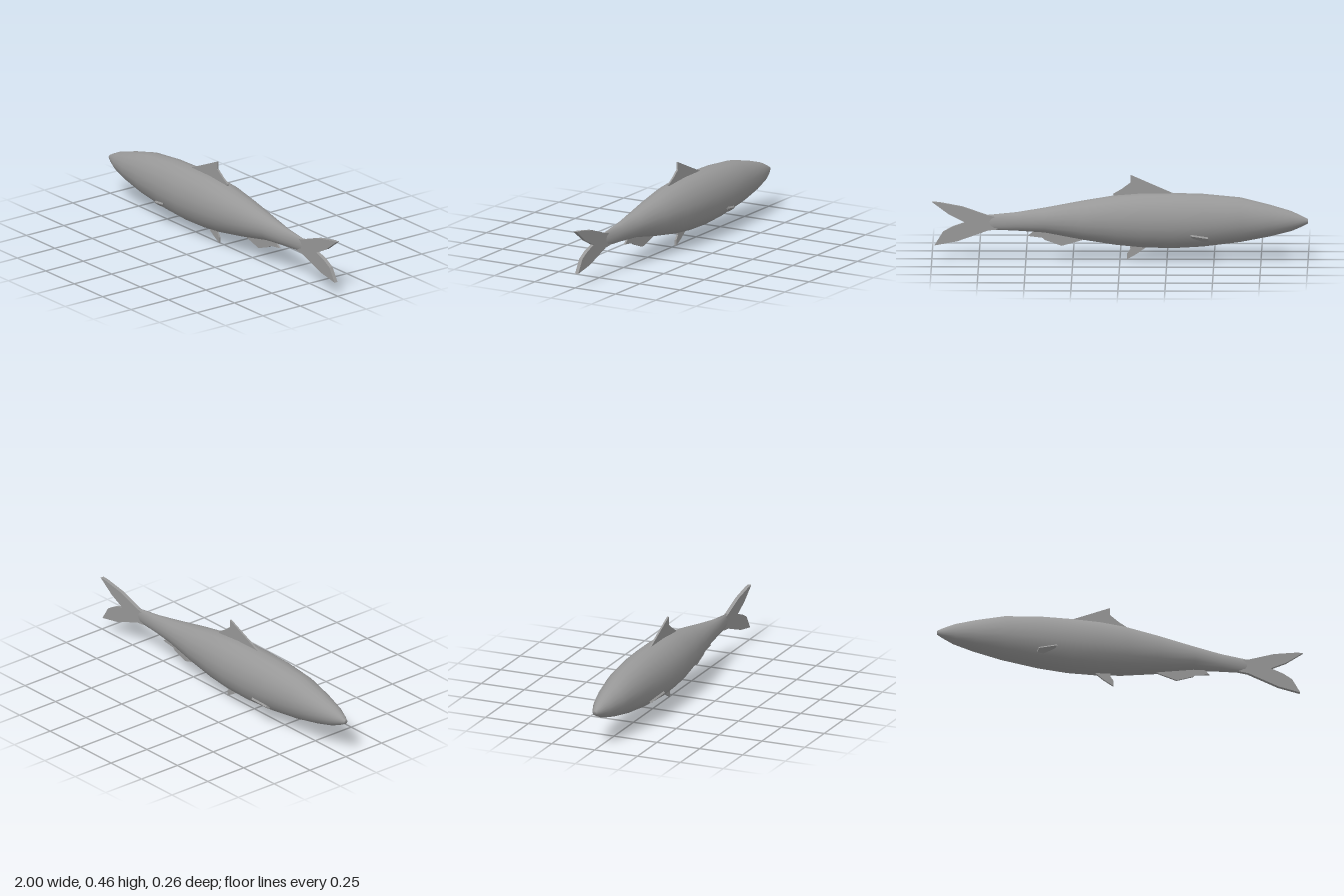
import * as THREE from 'three';

const material = new THREE.MeshStandardMaterial({ color: 0x989898, side: THREE.DoubleSide });
const SIDES = 18;

// Body cross-sections: x, top y, bottom y, half width
const SECTIONS = [
  [-1, 0.218, 0.195, 0.011], [-0.97, 0.234, 0.179, 0.026], [-0.91, 0.262, 0.153, 0.05],
  [-0.8, 0.295, 0.125, 0.077], [-0.64, 0.335, 0.094, 0.102], [-0.44, 0.354, 0.069, 0.117],
  [-0.28, 0.358, 0.06, 0.122], [-0.12, 0.357, 0.064, 0.121], [0.02, 0.346, 0.077, 0.112],
  [0.2, 0.316, 0.105, 0.089], [0.4, 0.278, 0.143, 0.057], [0.55, 0.253, 0.153, 0.032],
  [0.7, 0.238, 0.159, 0.009],
];

// Oval rings lofted from snout to tail root
function bodyGeometry() {
  const positions = [], index = [];
  for (const [x, top, bottom, width] of SECTIONS) {
    for (let j = 0; j < SIDES; j++) {
      const a = (j / SIDES) * Math.PI * 2;
      positions.push(x, (top + bottom) / 2 + Math.cos(a) * (top - bottom) / 2, Math.sin(a) * width);
    }
  }
  const last = (SECTIONS.length - 1) * SIDES;
  for (let j = 0; j < SIDES; j++) {
    const k = (j + 1) % SIDES;
    for (let r = 0; r < last; r += SIDES) {
      index.push(r + j, r + k, r + SIDES + j, r + k, r + SIDES + k, r + SIDES + j);
    }
    // End caps as fans
    if (j > 0 && k > 0) index.push(0, k, j, last, last + j, last + k);
  }
  const geometry = new THREE.BufferGeometry();
  geometry.setAttribute('position', new THREE.Float32BufferAttribute(positions, 3));
  geometry.setIndex(index);
  geometry.computeVertexNormals();
  return geometry;
}

// Flat plate cut from an outline and centred on its own plane
function fin(name, outline, thickness) {
  const shape = new THREE.Shape(outline.map(([x, y]) => new THREE.Vector2(x, y)));
  const geometry = new THREE.ExtrudeGeometry(shape, { depth: thickness, bevelEnabled: false });
  geometry.translate(0, 0, -thickness / 2);
  const mesh = new THREE.Mesh(geometry, material);
  mesh.name = name;
  return mesh;
}

export function createModel() {
  const fish = new THREE.Group();
  fish.name = 'fish';

  const body = new THREE.Mesh(bodyGeometry(), material);
  body.name = 'body';
  fish.add(body);

  // Fins on the centre line
  fish.add(
    fin('dorsalFin', [[-0.28, 0.34], [-0.28, 0.357], [-0.19, 0.396], [-0.055, 0.455], [-0.055, 0.413],
      [-0.01, 0.379], [0.037, 0.352], [0.03, 0.33]], 0.01),
    fin('pelvicFin', [[-0.15, 0.08], [-0.14, 0.066], [-0.09, 0.03], [-0.037, 0], [-0.037, 0.03],
      [-0.055, 0.055], [-0.05, 0.085]], 0.01),
    fin('analFin', [[0.19, 0.12], [0.2, 0.103], [0.31, 0.072], [0.4, 0.104], [0.41, 0.115],
      [0.49, 0.125], [0.46, 0.15], [0.4, 0.16]], 0.01),
    fin('tailFin', [[0.65, 0.16], [0.7, 0.155], [0.866, 0.096], [0.985, 0.074], [0.94, 0.147],
      [0.89, 0.175], [0.824, 0.198], [0.91, 0.241], [1, 0.308], [0.96, 0.305], [0.84, 0.283],
      [0.706, 0.237], [0.65, 0.225]], 0.02),
  );

  // Pectoral fins, angled up and outward on both flanks
  for (const side of [1, -1]) {
    const pectoral = fin(side > 0 ? 'leftPectoralFin' : 'rightPectoralFin',
      [[-0.475, 0.005], [-0.47, 0.03], [-0.375, 0.056], [-0.385, 0.036], [-0.44, 0]], 0.011);
    pectoral.position.set(0, 0.112, side * 0.082);
    pectoral.rotation.x = side * 0.85;
    fish.add(pectoral);
  }
  return fish;
}
